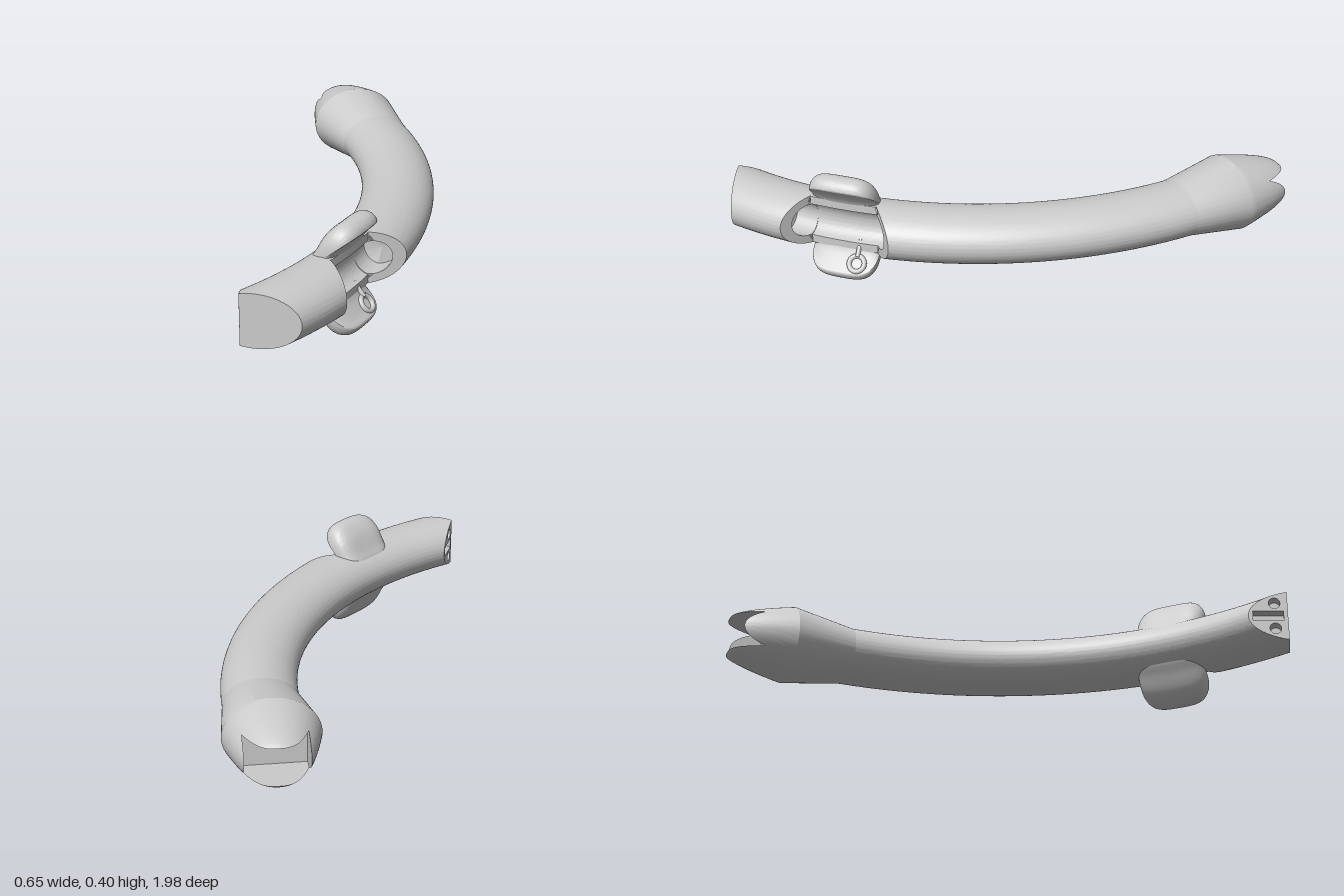
import * as THREE from 'three';
import { toCreasedNormals } from 'three/addons/utils/BufferGeometryUtils.js';

const material = new THREE.MeshStandardMaterial({ color: 0xcccccc, side: THREE.DoubleSide });
const N = 96, R = 1.47, MID = 0.203, RX = 0.13, RY = 0.095;
const V = (x, y, z) => new THREE.Vector3(x, y, z);
const range = (n, f) => Array.from({ length: n }, (_, i) => f(i));
const lerp = THREE.MathUtils.lerp;

// Point on the curved body: angle along the arc, outward offset u, height h
const P = (a, u, h) => V(-1.27 + (R + u) * Math.cos(a), MID + h, 0.17 + (R + u) * Math.sin(a));
// Closed ring from a function of the angle round the section
const ring = f => range(N, i => f((i / N) * Math.PI * 2));
const mean = pts => pts.reduce((s, p) => s.add(p), V(0, 0, 0)).divideScalar(pts.length);
const point = pts => { const c = mean(pts); return pts.map(() => c); };

function addMesh(group, name, geometry) {
  const mesh = new THREE.Mesh(geometry, material);
  mesh.name = name;
  group.add(mesh);
  return mesh;
}

// Skin through rings of equal length
function loft(rings, closed = true) {
  const n = rings[0].length, index = [];
  for (let j = 0; j < rings.length - 1; j++) {
    for (let i = 0; i < (closed ? n : n - 1); i++) {
      const k = (i + 1) % n, a = j * n + i, b = j * n + k;
      index.push(a, b, a + n, b, b + n, a + n);
    }
  }
  const g = new THREE.BufferGeometry().setFromPoints(rings.flat());
  g.setIndex(index);
  return toCreasedNormals(g, 0.35);
}

// Slanted ends of the side opening
const openA = u => 0.203 - 0.42 * Math.max(0, u - 0.02);
const openB = u => 0.371 + 0.37 * Math.max(0, u - 0.02);
const NECK = -0.543;

// Nose end: flat front at z = 1 and a slanted side face
const sideX = z => -0.13 + 0.15 * (z - 0.825);
const frontAngle = u => Math.asin(0.83 / (R + u));
const sideAngle = u => {
  const c = 1.0304 / (R + u);
  return Math.acos(Math.min(1, c)) - 0.1489;
};
const noseEnd = u => Math.min(frontAngle(u), sideAngle(u));

// Body segment between two angle rules
const segment = (from, to, steps) => range(steps + 1, j => ring(t => {
  const u = RX * Math.cos(t);
  return P(lerp(from(u), to(u), j / steps), u, RY * Math.sin(t));
}));
// Bore sunk into the face of the opening, then closed
function bore(face, depth) {
  const at = d => ring(t => {
    const u = 0.03 + 0.06 * Math.cos(t);
    return P(face(u) + d, u, 0.06 * Math.sin(t));
  });
  return [at(0), at(depth), point(at(depth))];
}

function buildPommel() {
  const ax = V(Math.sin(NECK), 0, -Math.cos(NECK)), wx = V(Math.cos(NECK), 0, Math.sin(NECK));
  const base = P(NECK, 0, 0);
  const at = (s, w, h) => base.clone().addScaledVector(ax, s)
    .addScaledVector(wx, w - 0.012 * Math.min(1, s / 0.22)).add(V(0, h, 0));
  // The dome ends where a rectangular pocket breaks through it
  const limit = t => Math.min(0.65 / Math.max(1e-6, Math.abs(Math.cos(t))), 0.5 / Math.max(1e-6, Math.abs(Math.sin(t))));
  const dome = k => 0.22 + 0.215 * (1 - Math.pow((k - 0.5) / 0.5, 1.6));
  const rings = [ring(t => at(0, RX * Math.cos(t), RY * Math.sin(t)))];
  for (let j = 0; j <= 10; j++) {
    rings.push(ring(t => {
      const k = lerp(1, limit(t), j / 10);
      return at(dome(k), 0.163 * k * Math.cos(t), 0.132 * k * Math.sin(t));
    }));
  }
  const floor = ring(t => at(0.29, 0.163 * limit(t) * Math.cos(t), 0.132 * limit(t) * Math.sin(t)));
  rings.push(floor, point(floor));
  return loft(rings);
}

function buildSaddle() {
  // Outer half of the body with a hollow channel facing outward
  return loft(range(25, j => ring(t => {
    const h = RY * Math.sin(t);
    const hollow = 0.05 * Math.sqrt(Math.max(0, 1 - (h / 0.06) ** 2));
    const u = Math.min(RX * Math.cos(t), 0.02 - hollow);
    return P(lerp(openA(u), openB(u), j / 24), u, h);
  })));
}

// Curled grip wing; side is 1 for the top and -1 for the bottom
function buildWing(side) {
  const profile = new THREE.CatmullRomCurve3([
    [-0.085, 0.06], [-0.062, 0.105], [-0.025, 0.165], [0.02, 0.198], [0.06, 0.192],
    [0.078, 0.165], [0.058, 0.143], [0.028, 0.105], [0, 0.06],
  ].map(p => V(p[0], p[1], 0)), true).getPoints(47);
  const rings = range(33, j => {
    const t = -Math.cos((j / 32) * Math.PI);
    const e = Math.pow(1 - Math.min(1, Math.abs(t)) ** 4, 0.4);
    return profile.map(p => P(0.286 + t * 0.125 / R, lerp(-0.01, p.x, e), side * lerp(0.09, p.y, e)));
  });
  return loft(rings);
}

export function createModel() {
  const model = new THREE.Group();
  model.name = 'curvedHandle';

  addMesh(model, 'pommel', buildPommel());

  const grip = segment(() => NECK, openA, 40);
  addMesh(model, 'grip', loft([...grip, ...bore(openA, -0.06)]));
  addMesh(model, 'saddle', buildSaddle());
  const nose = segment(noseEnd, openB, 20);
  addMesh(model, 'nose', loft([...nose, ...bore(openB, 0.06)]));

  // Nose end faces, split where the two planes meet
  let lo = -0.13, hi = 0.13;
  for (let i = 0; i < 40; i++) {
    const m = (lo + hi) / 2;
    if (sideAngle(m) < frontAngle(m)) lo = m; else hi = m;
  }
  const tc = Math.acos(lo / RX);
  const edge = (from, to, sign) => range(33, i => {
    const t = lerp(from, to, i / 32), u = RX * Math.cos(t);
    return P(noseEnd(u), u, sign * RY * Math.sin(t));
  });
  addMesh(model, 'noseFrontFace', loft([edge(0, tc, 1), edge(0, tc, -1)], false));

  // Side face with two round sockets and a slot between them
  const outline = [...edge(tc, Math.PI, 1), ...edge(Math.PI, tc, -1).slice(1)];
  const shape = new THREE.Shape(outline.map(p => new THREE.Vector2(p.z, p.y)));
  const circle = y => range(24, i => new THREE.Vector2(
    0.955 + 0.02 * Math.cos(i * Math.PI / 12), y + 0.02 * Math.sin(i * Math.PI / 12)));
  const slot = [[0.88, -0.018], [0.985, -0.018], [0.985, 0.018], [0.88, 0.018]]
    .map(p => new THREE.Vector2(p[0], MID + p[1]));
  const sockets = [circle(MID + 0.048), slot, circle(MID - 0.048)];
  sockets.forEach(pts => shape.holes.push(new THREE.Path(pts)));
  const face = new THREE.ShapeGeometry(shape);
  const pos = face.attributes.position;
  for (let i = 0; i < pos.count; i++) {
    const z = pos.getX(i);
    pos.setXYZ(i, sideX(z), pos.getY(i), z);
  }
  face.computeVertexNormals();
  addMesh(model, 'noseSideFace', face);
  sockets.forEach(pts => {
    const wall = d => pts.map(p => V(sideX(p.x) + d, p.y, p.x));
    addMesh(model, 'noseSocket', loft([wall(0), wall(0.04), point(wall(0.04))]));
  });

  // Grip wings above and below the opening
  addMesh(model, 'topWing', buildWing(1));
  addMesh(model, 'bottomWing', buildWing(-1));

  // Ring and pin on the inside of the bottom wing
  const seat = P(0.25, 0.05, -0.13);
  const normal = V(0.75 * Math.cos(0.25), 0.6, 0.75 * Math.sin(0.25)).normalize();
  const eyelet = addMesh(model, 'wingRing', new THREE.TorusGeometry(0.028, 0.009, 12, 32));
  eyelet.position.copy(seat);
  eyelet.quaternion.setFromUnitVectors(V(0, 0, 1), normal);
  const pin = new THREE.LineCurve3(P(0.25, 0, -0.06), P(0.25, 0.04, -0.108));
  addMesh(model, 'wingPin', new THREE.TubeGeometry(pin, 1, 0.008, 12));

  return model;
}
